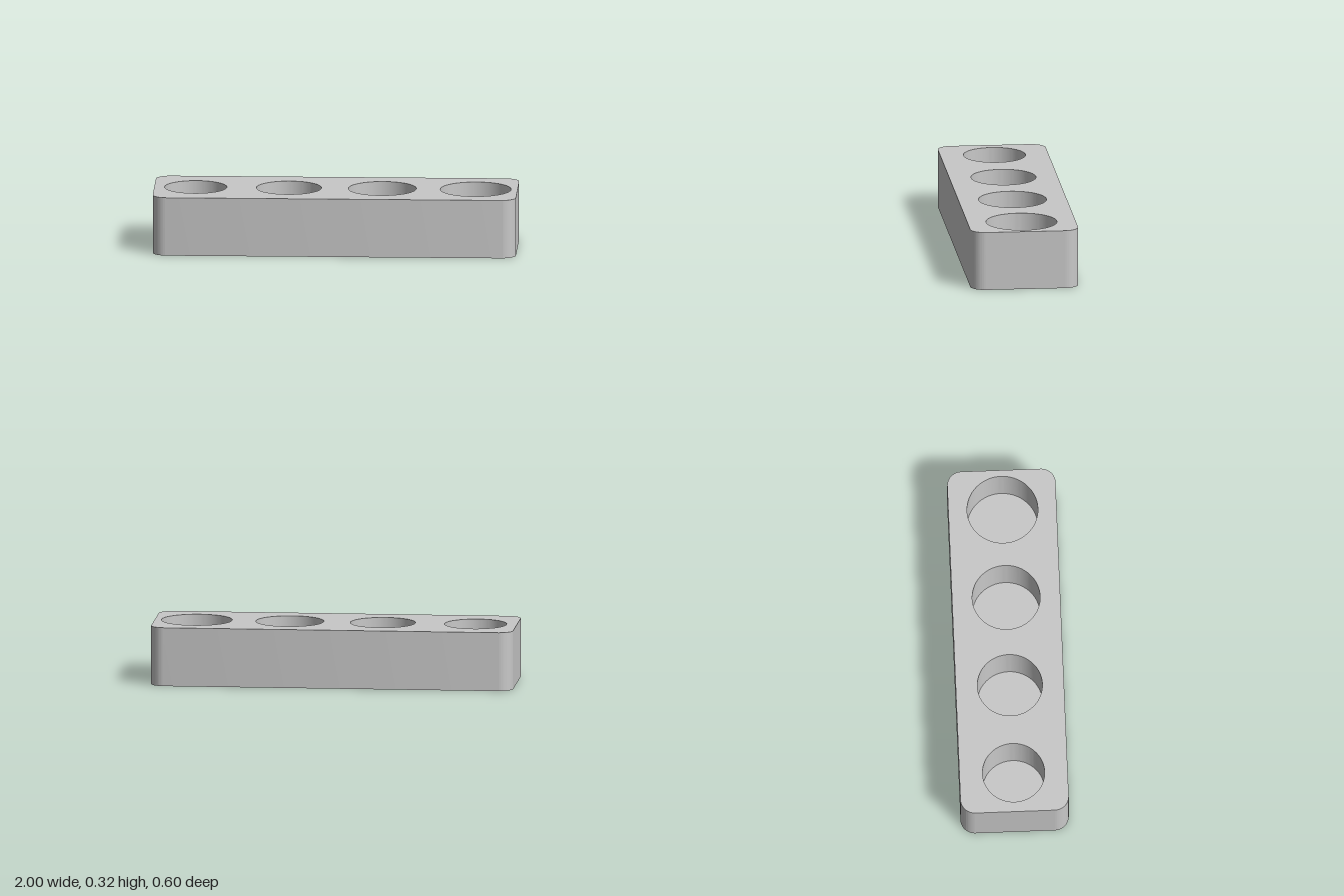
import * as THREE from 'three';
import { toCreasedNormals } from 'three/addons/utils/BufferGeometryUtils.js';

const HEIGHT = 0.325, HALF_X = 1, HALF_Z = 0.298, CORNER = 0.08, FLOOR = 0.05, SEGMENTS = 64;

// Round wells, growing slightly from one end to the other
const WELLS = [
  { x: -0.772, r: 0.171 },
  { x: -0.259, r: 0.179 },
  { x: 0.255, r: 0.187 },
  { x: 0.769, r: 0.195 },
];

function roundedOutline(hx, hz, r) {
  const s = new THREE.Shape();
  s.absarc(hx - r, hz - r, r, 0, Math.PI / 2);
  s.absarc(-hx + r, hz - r, r, Math.PI / 2, Math.PI);
  s.absarc(-hx + r, -hz + r, r, Math.PI, Math.PI * 1.5);
  s.absarc(hx - r, -hz + r, r, Math.PI * 1.5, Math.PI * 2);
  s.closePath();
  return s;
}

export function createModel() {
  const group = new THREE.Group();
  group.name = 'wellBlock';
  const grey = new THREE.MeshStandardMaterial({ color: 0xc8c8c8 });
  grey.name = 'light grey';

  // Block with rounded upright corners and four round bores
  const outline = roundedOutline(HALF_X, HALF_Z, CORNER);
  for (const { x, r } of WELLS) {
    outline.holes.push(new THREE.Path().absarc(x, 0, r, 0, Math.PI * 2, true));
  }
  const block = new THREE.ExtrudeGeometry(outline, {
    depth: HEIGHT, bevelEnabled: false, curveSegments: SEGMENTS,
  }).rotateX(-Math.PI / 2);
  const body = new THREE.Mesh(toCreasedNormals(block, 0.6), grey);
  body.name = 'body';
  group.add(body);

  // Solid floors closing the bores at the bottom
  WELLS.forEach(({ x, r }, i) => {
    const floor = new THREE.Mesh(new THREE.CylinderGeometry(r, r, FLOOR, SEGMENTS), grey);
    floor.name = `wellFloor${i + 1}`;
    floor.position.set(x, FLOOR / 2, 0);
    group.add(floor);
  });
  return group;
}
